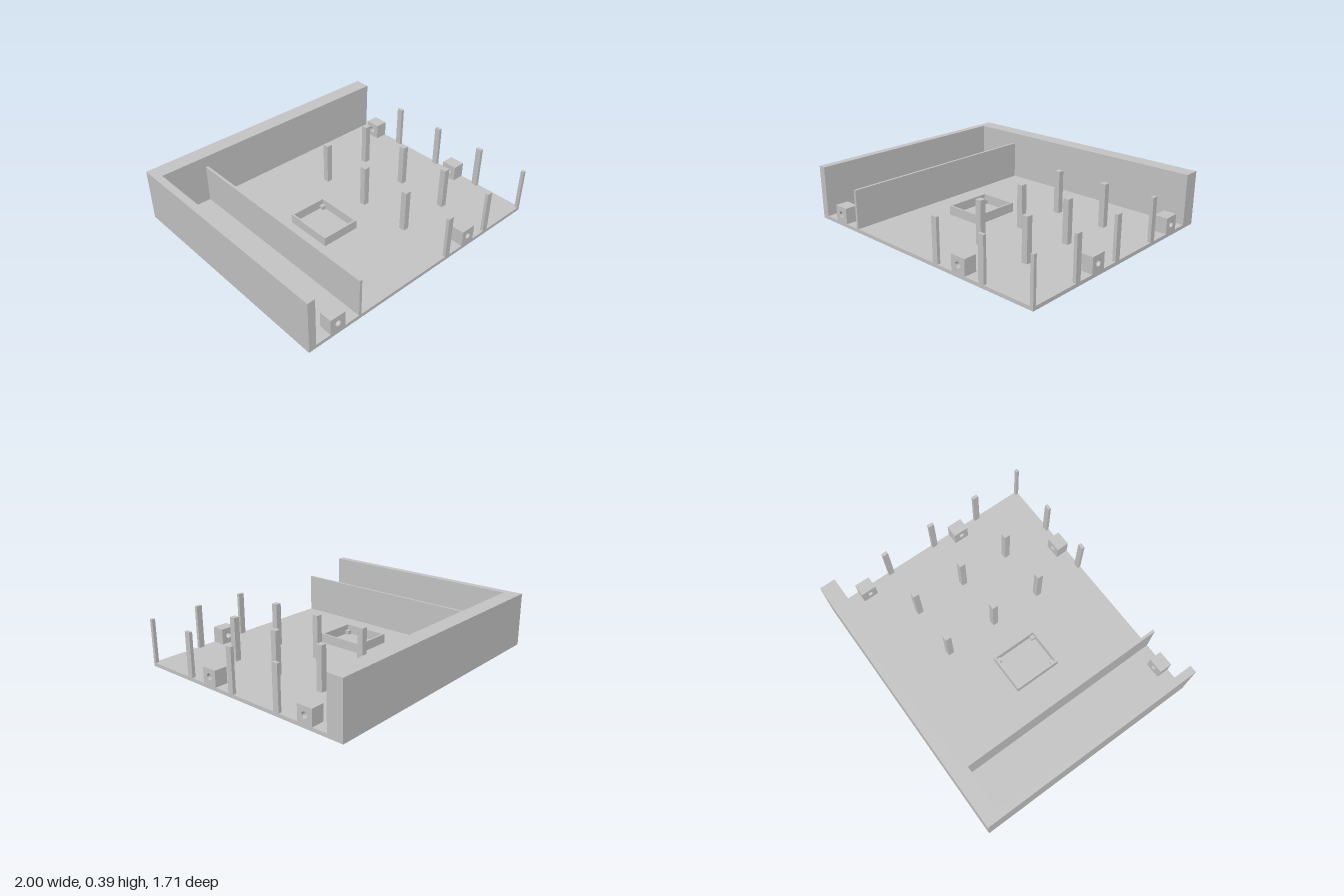
import * as THREE from 'three';

const FLOOR = 0.026;
const FRONT = 0.853;

export function createModel() {
  const model = new THREE.Group();
  model.name = 'openTray';
  const grey = new THREE.MeshStandardMaterial({ color: 0xc5c5c5 });
  grey.name = 'light grey';

  // box given by its limits on each axis
  function block(name, x0, x1, y0, y1, z0, z1) {
    const mesh = new THREE.Mesh(new THREE.BoxGeometry(x1 - x0, y1 - y0, z1 - z0), grey);
    mesh.position.set((x0 + x1) / 2, (y0 + y1) / 2, (z0 + z1) / 2);
    mesh.name = name;
    model.add(mesh);
  }

  // floor, outer walls and thin divider
  block('floor', -1, 1, 0, FLOOR, -FRONT, FRONT);
  block('backWall', -1, 1, FLOOR, 0.392, -FRONT, -0.735);
  block('sideWall', -1, -0.945, FLOOR, 0.392, -0.735, FRONT);
  block('divider', -0.604, -0.585, FLOOR, 0.308, -0.735, FRONT);

  // grid of posts, cut flush at the open edges
  const half = 0.022;
  for (const x of [0.205, 0.602, 0.998])
    for (const z of [-0.337, 0.06, 0.456, 0.852])
      block('post', x - half, Math.min(x + half, 1), FLOOR, 0.34, z - half, Math.min(z + half, FRONT));

  // rectangular frame with a small support in each corner
  const [x0, x1, z0, z1] = [-0.331, -0.039, -0.118, 0.236];
  const wall = 0.013, foot = 0.03, top = 0.094;
  block('frameSide', x0, x0 + wall, FLOOR, top, z0, z1);
  block('frameSide', x1 - wall, x1, FLOOR, top, z0, z1);
  block('frameEnd', x0 + wall, x1 - wall, FLOOR, top, z0, z0 + wall);
  block('frameEnd', x0 + wall, x1 - wall, FLOOR, top, z1 - wall, z1);
  for (const x of [x0 + wall, x1 - wall - foot])
    for (const z of [z0 + wall, z1 - wall - foot])
      block('cornerSupport', x, x + foot, FLOOR, 0.055, z, z + foot);

  // bored mounting lugs along the open edges
  const w = 0.058, depth = 0.095;
  const outline = new THREE.Shape();
  outline.moveTo(-w, FLOOR).lineTo(w, FLOOR).lineTo(w, 0.141).lineTo(-w, 0.141).closePath();
  const bore = new THREE.Path();
  bore.absarc(0, 0.083, 0.022, 0, Math.PI * 2, true);
  outline.holes.push(bore);
  const lugGeometry = new THREE.ExtrudeGeometry(outline, { depth, bevelEnabled: false, curveSegments: 24 });
  function lug(x, z, turn) {
    const mesh = new THREE.Mesh(lugGeometry, grey);
    mesh.name = 'mountingLug';
    mesh.position.set(x, 0, z);
    mesh.rotation.y = turn;
    model.add(mesh);
  }
  for (const x of [-0.775, 0.409]) lug(x, FRONT - depth, 0);
  for (const z of [-0.567, 0.26]) lug(1 - depth, z, Math.PI / 2);

  return model;
}
